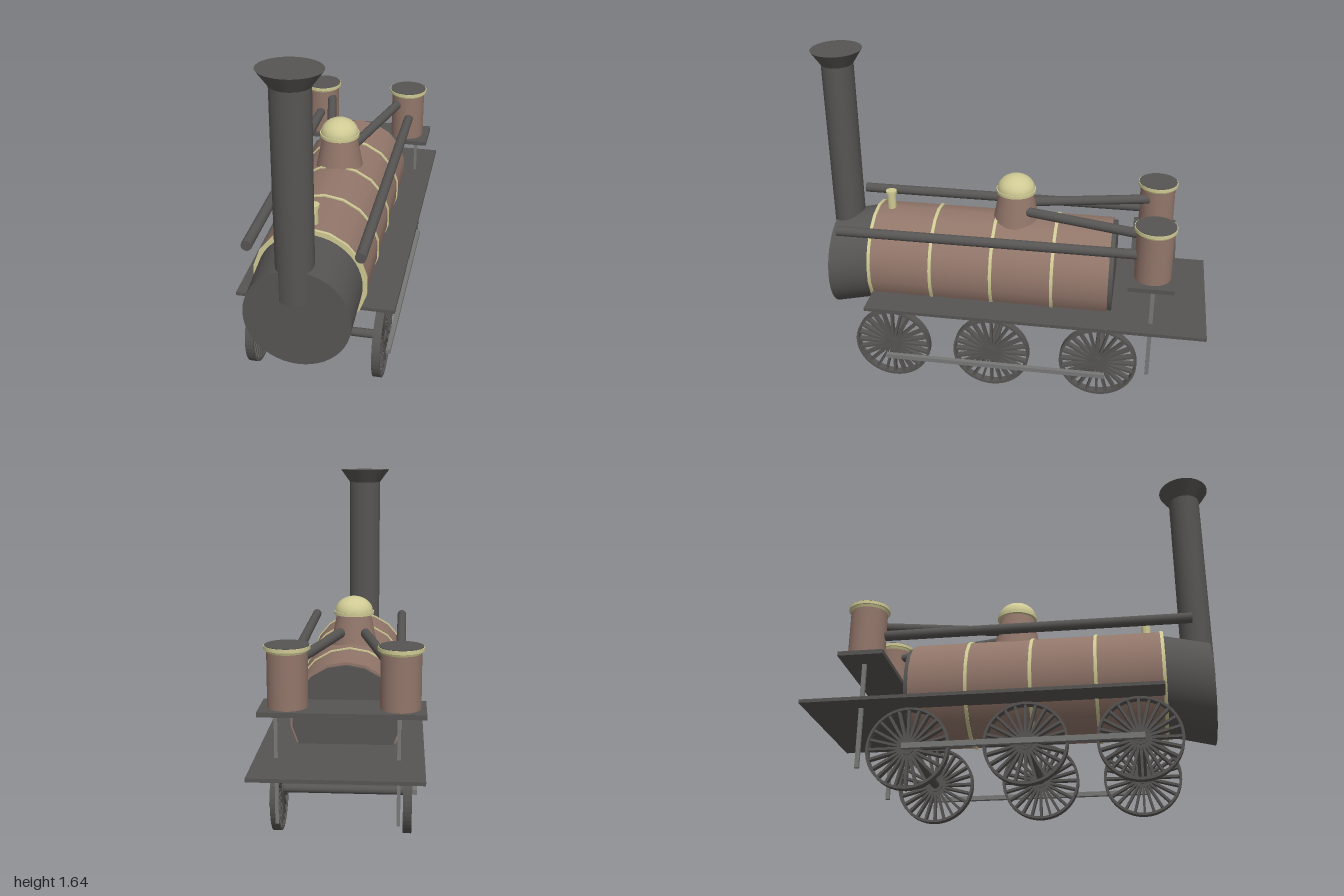
import * as THREE from 'three';

const mat = (name, color) => {
  const m = new THREE.MeshStandardMaterial({ color });
  m.name = name;
  return m;
};

export function createModel() {
  const iron = mat('dark iron', 0x575553);
  const copper = mat('copper brown', 0x92766a);
  const brass = mat('pale brass', 0xcfca94);
  const steel = mat('steel grey', 0x777876);

  const model = new THREE.Group();
  model.name = 'steamLocomotive';

  const add = (name, geometry, material, x = 0, y = 0, z = 0, parent = model) => {
    const mesh = new THREE.Mesh(geometry, material);
    mesh.name = name;
    mesh.position.set(x, y, z);
    parent.add(mesh);
    return mesh;
  };
  const cyl = (rTop, rBottom, h, n = 32) => new THREE.CylinderGeometry(rTop, rBottom, h, n);
  const box = (w, h, d) => new THREE.BoxGeometry(w, h, d);
  // Straight round bar between two points
  const bar = (name, a, b, r, material) => {
    const p = new THREE.Vector3(...a), q = new THREE.Vector3(...b);
    const mesh = add(name, cyl(r, r, p.distanceTo(q), 18), material);
    mesh.position.copy(p).lerp(q, 0.5);
    mesh.quaternion.setFromUnitVectors(new THREE.Vector3(0, 1, 0), q.sub(p).normalize());
    return mesh;
  };

  // Boiler with its dark rear plate
  const bx = -0.016, by = 0.56;
  bar('boiler', [bx, by, 0.706], [bx, by, -0.51], 0.262, copper);
  bar('boilerBackPlate', [bx, by, -0.505], [bx, by, -0.532], 0.25, iron);

  // Brass bands around the boiler
  for (const z of [0.704, 0.387, 0.078, -0.23]) {
    bar('boilerBand', [bx, by, z - 0.008], [bx, by, z + 0.008], 0.268, brass);
  }

  // Smokebox: a cylinder sheared downwards towards the front
  const smokebox = cyl(0.246, 0.246, 0.22, 48).rotateX(Math.PI / 2);
  const p = smokebox.attributes.position;
  for (let i = 0; i < p.count; i++) {
    const t = p.getZ(i) / 0.22 + 0.5;
    p.setXY(i, p.getX(i) - 0.008 * t, p.getY(i) - 0.056 * t);
  }
  add('smokebox', smokebox, iron, -0.017, 0.556, 0.82);

  // Chimney with flared top, slightly oval
  const chimney = new THREE.Group();
  chimney.name = 'chimney';
  chimney.position.set(-0.04, 0, 0.874);
  chimney.scale.set(1.12, 1, 1);
  model.add(chimney);
  add('chimneyPipe', cyl(0.078, 0.078, 1.0), iron, 0, 1.08, 0, chimney);
  add('chimneyFlare', cyl(0.125, 0.078, 0.072), iron, 0, 1.611, 0, chimney);

  // Steam dome with brass cap
  const dx = -0.025, dz = -0.015;
  add('domeBase', cyl(0.085, 0.125, 0.2), copper, dx, 0.86, dz);
  add('domeRim', cyl(0.1, 0.1, 0.016), brass, dx, 0.964, dz);
  const cap = add('domeCap',
    new THREE.SphereGeometry(0.095, 32, 12, 0, Math.PI * 2, 0, Math.PI / 2), brass, dx, 0.97, dz);
  cap.scale.y = 0.8;

  // Small brass valve on the boiler
  add('valveStem', cyl(0.022, 0.022, 0.13, 16), brass, -0.012, 0.845, 0.635);
  add('valveTop', cyl(0.028, 0.028, 0.015, 16), brass, -0.012, 0.907, 0.635);

  // Rear shelf, drums, posts and the pipes running forwards
  add('rearShelf', box(0.73, 0.022, 0.222), iron, -0.015, 0.661, -0.719);
  for (const s of [-1, 1]) {
    const x = -0.02 + s * 0.247;
    add('drum', cyl(0.09, 0.09, 0.255), copper, x, 0.797, -0.722);
    add('drumCollar', cyl(0.095, 0.09, 0.012), brass, x, 0.924, -0.722);
    add('drumRim', cyl(0.102, 0.102, 0.016), brass, x, 0.938, -0.722);
    add('drumLid', cyl(0.098, 0.098, 0.004), iron, x, 0.947, -0.722);
    const px = -0.0105 + s * 0.2535;
    bar('sidePipe', [px, 0.796, 0.85], [px, 0.796, -0.66], 0.025, iron);
    bar('domePipe', [dx + s * 0.055, 0.872, -0.07], [-0.012 + s * 0.195, 0.872, -0.68], 0.024, iron);
    add('post', box(0.016, 0.53, 0.02), steel, 0.009 + s * 0.271, 0.393, -0.73);
  }

  // Flat running board
  add('runningBoard', box(0.751, 0.017, 1.7), iron, 0, 0.429, -0.15);

  // Spoked wheels: ring, hub and thin spokes
  const R = 0.195, W = 0.04, SPOKES = 24;
  const ring = new THREE.Shape().absarc(0, 0, R, 0, Math.PI * 2);
  ring.holes.push(new THREE.Path().absarc(0, 0, R - 0.012, 0, Math.PI * 2, true));
  const rimGeo = new THREE.ExtrudeGeometry(ring, { depth: W, bevelEnabled: false, curveSegments: 24 })
    .translate(0, 0, -W / 2).rotateY(Math.PI / 2);
  const hubGeo = cyl(0.034, 0.034, W, 20).rotateZ(Math.PI / 2);
  const spokeGeo = box(0.03, R - 0.02, 0.012).translate(0, R / 2, 0);

  for (const z of [0.577, 0.062, -0.482]) {
    for (const x of [-0.302, 0.302]) {
      const wheel = new THREE.Group();
      wheel.name = 'wheel';
      wheel.position.set(x, 0.197, z);
      model.add(wheel);
      add('wheelRim', rimGeo, iron, 0, 0, 0, wheel);
      add('wheelHub', hubGeo, iron, 0, 0, 0, wheel);
      for (let i = 0; i < SPOKES; i++) {
        add('spoke', spokeGeo, iron, 0, 0, 0, wheel).rotation.x = (i / SPOKES) * Math.PI * 2;
      }
    }
    bar('axle', [-0.325, 0.2, z], [0.325, 0.2, z], 0.022, iron);
  }

  // Coupling rods, a quarter turn apart
  add('couplingRodLeft', box(0.022, 0.022, 1.13), steel, 0.337, 0.132, 0.045);
  add('couplingRodRight', box(0.022, 0.026, 1.1), steel, -0.337, 0.198, 0.048);

  return model;
}
